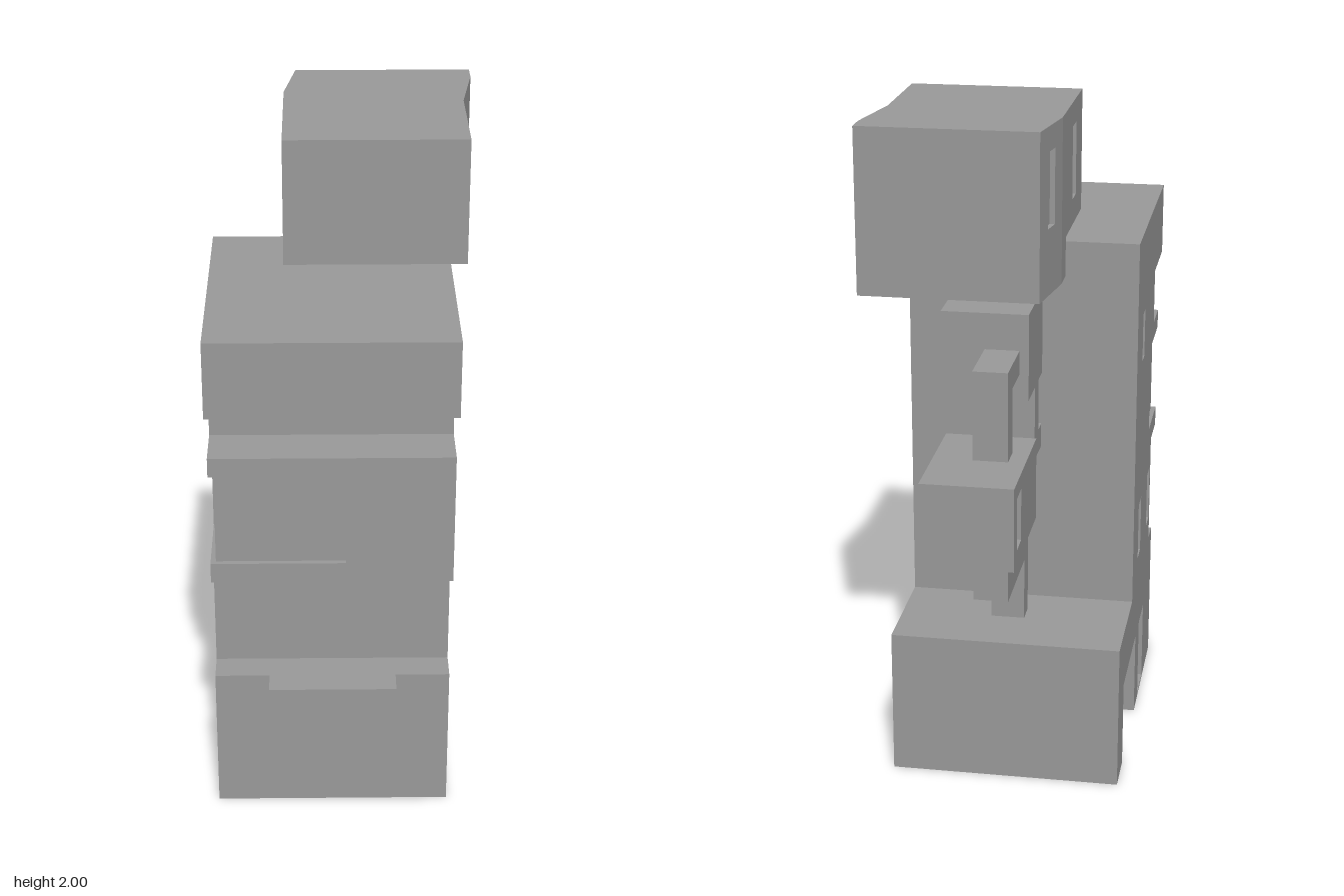
import * as THREE from 'three';

const T = 0.015; // depth of the window recesses

export function createModel() {
  const model = new THREE.Group();
  const material = new THREE.MeshStandardMaterial({ color: 0x999999, flatShading: true });

  const add = (name, geometry) => {
    const mesh = new THREE.Mesh(geometry, material);
    mesh.name = name;
    model.add(mesh);
    return mesh;
  };

  // Box given by its extents
  const box = (name, [x0, x1], [y0, y1], [z0, z1]) => {
    const g = new THREE.BoxGeometry(x1 - x0, y1 - y0, z1 - z0);
    g.translate((x0 + x1) / 2, (y0 + y1) / 2, (z0 + z1) / 2);
    return add(name, g);
  };

  // Side profile of [z, y] points, extruded across x; windows are [z0, z1, y0, y1]
  const sideProfile = (name, points, x0, x1, windows = []) => {
    const shape = new THREE.Shape(points.map(([z, y]) => new THREE.Vector2(-z, y)));
    for (const [z0, z1, y0, y1] of windows) {
      shape.holes.push(new THREE.Path(
        [[z0, y0], [z0, y1], [z1, y1], [z1, y0]].map(([z, y]) => new THREE.Vector2(-z, y))));
    }
    const g = new THREE.ExtrudeGeometry(shape, { depth: x1 - x0, bevelEnabled: false });
    g.rotateY(Math.PI / 2).translate(x0, 0, 0);
    return add(name, g);
  };

  // Plan outline of [x, z] points, extruded upward
  const plan = (name, points, y0, y1) => {
    const shape = new THREE.Shape(points.map(([x, z]) => new THREE.Vector2(x, -z)));
    const g = new THREE.ExtrudeGeometry(shape, { depth: y1 - y0, bevelEnabled: false });
    g.rotateX(-Math.PI / 2).translate(0, y0, 0);
    return add(name, g);
  };

  const rect = (z0, z1, y0, y1) => [[z0, y0], [z1, y0], [z1, y1], [z0, y1]];

  // Tower and base: a core with thin side walls holding the windows
  const bayFront = 0.613, bayLow = 0.806, bayHigh = 1.205, sill = 0.867, lintel = 1.147;
  const towerProfile = (bay) => [
    [0.56, 0], [0.56, 0.45], [0.47, 0.45], [0.47, bayLow],
    ...bay,
    [0.47, bayHigh], [0.47, 1.378], [0.71, 1.378], [0.71, 1.602],
    [-0.04, 1.602], [-0.04, 0.45], [-0.39, 0.45], [-0.39, 0],
    [-0.25, 0], [-0.25, 0.268], [0.092, 0.268], [0.092, 0],
  ];
  sideProfile('towerCore',
    towerProfile([[bayFront - T, bayLow], [bayFront - T, bayHigh]]), -0.385 + T, 0.307 - T);
  sideProfile('towerLeftWall',
    towerProfile([[bayFront, bayLow], [bayFront, bayHigh]]), 0.307 - T, 0.307,
    [[-0.01, 0.068, 0.906, 1.108], [0.222, 0.298, 0.538, 0.716]]);
  sideProfile('towerRightWall',
    towerProfile([[bayFront, bayLow], [bayFront, sill], [0.39, sill],
      [0.39, lintel], [bayFront, lintel], [bayFront, bayHigh]]), -0.385, -0.385 + T,
    [[0.115, 0.175, 1.19, 1.34], [0.105, 0.18, 0.535, 0.716],
      [0.365, 0.445, 0.535, 0.716], [0.195, 0.33, 0.01, 0.268]]);

  // Front skin of the bay around the corner window
  const skinZ = [bayFront - T, bayFront];
  const skinX = [-0.385 + T, 0.307 - T];
  box('baySill', skinX, [bayLow, sill], skinZ);
  box('bayLintel', skinX, [lintel, bayHigh], skinZ);
  box('bayWall', [0, 0.307 - T], [sill, lintel], skinZ);

  box('balcony', [-0.225, 0.148], [0.268, 0.45], [0.56, 0.635]);

  // Top room, bent in plan
  const roomX = -0.173, step = -0.096, floor = 1.63, lowFloor = 1.512;
  const rearPlan = [
    [0.35, step], [0.385, -0.32], [0.385, -0.39], [-0.14 + T, -0.39], [roomX + T, -0.18]];
  plan('topRoomCore',
    [[roomX + T, 0.245], [0.35 - T, 0.245], [0.35 - T, step], ...rearPlan], floor, 2);
  plan('topRoomLowerCore', [[roomX + T, step], ...rearPlan], lowFloor, floor);
  const roomWindow = [0.038, 0.117, 1.708, 1.928];
  sideProfile('topRoomLeftWall', rect(step, 0.245, floor, 2), 0.35 - T, 0.35, [roomWindow]);
  sideProfile('topRoomRightWall',
    [[0.245, floor], [0.245, 2], [-0.18, 2], [-0.18, lowFloor], [step, lowFloor], [step, floor]],
    roomX, roomX + T, [roomWindow]);

  // Slanted rear part of the right wall, sheared along z
  const slanted = sideProfile('topRoomSlantedWall', rect(-0.39, -0.18, lowFloor, 2),
    roomX, roomX + T, [[-0.315, -0.25, 1.708, 1.928]]).geometry;
  const p = slanted.attributes.position;
  for (let i = 0; i < p.count; i++) {
    p.setX(i, p.getX(i) + (-0.18 - p.getZ(i)) * ((-0.14 - roomX) / 0.21));
  }
  slanted.computeVertexNormals();

  // Rooms hung behind the tower
  box('upperRearRoom', [-0.097, 0.16], [1.192, 1.452], [-0.305, -0.04]);
  box('lowerRearRoom', [-0.12 + T, 0.148], [0.828, 1.077], [-0.708, -0.305]);
  sideProfile('lowerRearRoomWall', rect(-0.708, -0.305, 0.828, 1.077),
    -0.12, -0.12 + T, [[-0.66, -0.585, 0.875, 1.03]]);

  // Square ducts linking the rooms
  const ductX = [-0.07, 0.032];
  sideProfile('upperDuct', [[-0.305, 1.343], [-0.508, 1.343], [-0.508, 1.077],
    [-0.435, 1.077], [-0.435, 1.272], [-0.305, 1.272]], ...ductX);
  sideProfile('lowerDuct', [[-0.435, 0.828], [-0.508, 0.828], [-0.508, 0.643], [-0.208, 0.643],
    [-0.208, 0.45], [-0.138, 0.45], [-0.138, 0.71], [-0.435, 0.71]], ...ductX);
  const neckX = [-0.095, 0.025];
  box('neckDuct', neckX, [1.452, lowFloor], [-0.172, step]);
  sideProfile('elbowDuct', [[step, 1.192], [-0.172, 1.192], [-0.172, 0.958],
    [-0.04, 0.953], [-0.04, 1.027], [step, 1.027]], ...neckX);

  return model;
}
